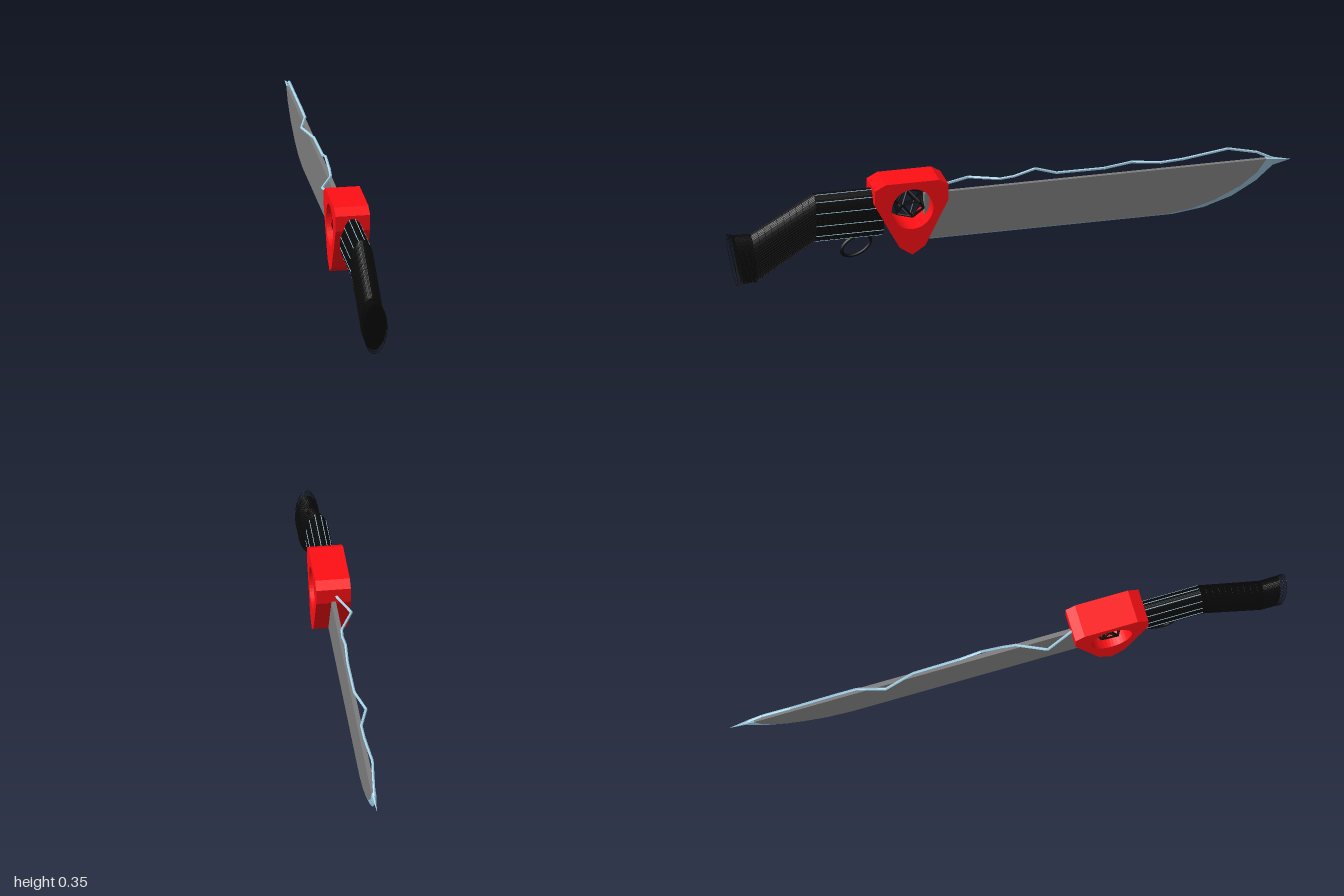
import * as THREE from 'three';
import { mergeGeometries } from 'three/addons/utils/BufferGeometryUtils.js';

const V = (x, y, z) => new THREE.Vector3(x, y, z);
const mat = (color, opts = {}) => new THREE.MeshStandardMaterial({ color, ...opts });

// Straight round strut between two points
function strut(a, b, r, sides = 5) {
  const d = b.clone().sub(a);
  const g = new THREE.CylinderGeometry(r, r, d.length(), sides, 1);
  g.applyQuaternion(new THREE.Quaternion().setFromUnitVectors(V(0, 1, 0), d.normalize()));
  return g.translate((a.x + b.x) / 2, (a.y + b.y) / 2, (a.z + b.z) / 2);
}

function chain(pts, r, sides = 5) {
  return mergeGeometries(pts.slice(1).map((p, i) => strut(pts[i], p, r, sides)));
}

// Side profile given as [z, y], extruded across x
function sideExtrude(pts, width, hole) {
  const shape = new THREE.Shape(pts.map(([z, y]) => new THREE.Vector2(-z, y)));
  if (hole) shape.holes.push(new THREE.Path().absarc(-hole[0], hole[1], hole[2], 0, Math.PI * 2, true));
  const g = new THREE.ExtrudeGeometry(shape, { depth: width, bevelEnabled: false, curveSegments: 20 });
  return g.translate(0, 0, -width / 2).rotateY(Math.PI / 2);
}

// Handle stations: top z, top y, bottom z, bottom y
const STATIONS = [
  [0.45, 0.318, 0.45, 0.141], [0.69, 0.318, 0.69, 0.141],
  [0.915, 0.19, 0.895, 0.012], [0.975, 0.192, 0.943, 0.01], [0.998, 0.198, 0.962, 0.002],
];

// Point on the oval handle; s runs through the stations
function gripPoint(s, angle, grow = 0) {
  const i = Math.min(Math.floor(s), STATIONS.length - 2), f = s - i;
  const [tz, ty, bz, by] = STATIONS[i].map((v, k) => v + (STATIONS[i + 1][k] - v) * f);
  const c = Math.cos(angle) * (1 + grow / 0.09);
  return V(Math.sin(angle) * (0.04 + grow), (ty + by) / 2 + c * (ty - by) / 2, (tz + bz) / 2 + c * (tz - bz) / 2);
}

function gripCore() {
  const N = 32, pos = [], idx = [];
  for (let j = 0; j < 4; j++)
    for (let i = 0; i < N; i++) pos.push(...gripPoint(j, (i / N) * Math.PI * 2).toArray());
  for (let j = 0; j < 3; j++)
    for (let i = 0; i < N; i++) {
      const a = j * N + i, b = j * N + (i + 1) % N;
      idx.push(a, a + N, b, b, a + N, b + N);
    }
  for (let i = 1; i < N - 1; i++) idx.push(3 * N, 3 * N + i + 1, 3 * N + i);
  const g = new THREE.BufferGeometry();
  g.setAttribute('position', new THREE.Float32BufferAttribute(pos, 3));
  g.setIndex(idx);
  const flat = g.toNonIndexed();
  flat.computeVertexNormals();
  return flat;
}

// Wedge between the blade outline and an outer cutting line, both [z, y]
function wedge(inner, outer, half) {
  const pos = [];
  const quad = (a, b, c, d) => [a, b, c, b, d, c].forEach(p => pos.push(...p));
  for (let i = 0; i < inner.length - 1; i++) {
    const at = (p, x) => [x, p[1], p[0]];
    for (const x of [half, -half])
      quad(at(inner[i], x), at(outer[i], 0), at(inner[i + 1], x), at(outer[i + 1], 0));
  }
  const g = new THREE.BufferGeometry();
  g.setAttribute('position', new THREE.Float32BufferAttribute(pos, 3));
  g.computeVertexNormals();
  return g;
}

export function createModel() {
  const group = new THREE.Group();
  const red = mat(0xff0f14), black = mat(0x0a0a0a), grey = mat(0x7c7c7c);
  const blue = mat(0xa6d3ea, { flatShading: true, side: THREE.DoubleSide });
  const add = (name, geometry, material) => {
    const m = new THREE.Mesh(geometry, material);
    m.name = name;
    group.add(m);
    return m;
  };

  // Shield-shaped guard with a round window
  add('guard', sideExtrude([
    [0.45, 0.35], [0.26, 0.35], [0.227, 0.33], [0.227, 0.275], [0.31, 0.11],
    [0.355, 0.08], [0.40, 0.11], [0.488, 0.275], [0.488, 0.33],
  ].reverse(), 0.12, [0.355, 0.25, 0.074]), red);

  // Twenty-sided wire frame floating in the window
  const edges = new THREE.EdgesGeometry(new THREE.IcosahedronGeometry(0.057)).attributes.position;
  const bars = [];
  for (let i = 0; i < edges.count; i += 2)
    bars.push(strut(V().fromBufferAttribute(edges, i), V().fromBufferAttribute(edges, i + 1), 0.0035, 6));
  const frame = add('windowFrame', mergeGeometries(bars), black);
  frame.quaternion.setFromUnitVectors(V(1, 1, 1).normalize(), V(1, 0, 0));
  frame.position.set(0, 0.25, 0.355);

  // Blade and its bevelled cutting edge
  const outline = [[0.30, 0.112], [-0.56, 0.112], [-0.65, 0.124], [-0.73, 0.148],
    [-0.82, 0.19], [-0.88, 0.235], [-0.912, 0.28]];
  add('blade', sideExtrude([...outline, [0.30, 0.28]], 0.016), grey);
  const cut = [[0.30, 0.106], [-0.58, 0.106], [-0.69, 0.12], [-0.79, 0.152],
    [-0.875, 0.2], [-0.935, 0.252], [-0.998, 0.268]];
  add('cuttingEdge', wedge([...outline, [-0.912, 0.28]], [...cut, [-0.905, 0.29]], 0.008), blue);

  // Crooked wire running above the back of the blade: x, y, z
  const wire = [
    [-0.005, 0.30, 0.24], [-0.05, 0.30, 0.13], [-0.004, 0.302, 0.03], [0, 0.308, -0.02],
    [-0.002, 0.328, -0.095], [0, 0.305, -0.17], [-0.002, 0.303, -0.34], [-0.03, 0.303, -0.445],
    [-0.002, 0.303, -0.54], [-0.003, 0.307, -0.62], [-0.011, 0.325, -0.78], [-0.003, 0.305, -0.88], [0, 0.28, -0.93],
  ].map(p => V(...p));
  add('backWire', chain(wire, 0.005, 6), blue);

  // Handle core
  add('handle', gripCore(), mat(0x0a0a0a, { side: THREE.DoubleSide }));

  // Fine net around the handle, standing out past the butt
  const net = [], strips = [], TURN = Math.PI * 2;
  for (let i = 0; i < 60; i++) {
    const a = (i / 60) * TURN;
    net.push(chain([0, 1, 2, 3, 4].map(s => gripPoint(s, a, 0.0005)), 0.0008, 3));
    if (i % 5 === 2)
      strips.push(strut(gripPoint(0, a, 0.0003), gripPoint(1, a, 0.0003), 0.0014, 4));
  }
  for (let s = 1; s <= 4.001; s += s < 2.99 ? 0.1 : 0.5) {
    const ring = [];
    for (let i = 0; i <= 36; i++) ring.push(gripPoint(Math.min(s, 4), (i / 36) * TURN, 0.0005));
    net.push(chain(ring, 0.0008, 3));
  }
  add('handleNet', mergeGeometries(net), black);
  add('handleStrips', mergeGeometries(strips), blue);

  // Tilted oval trigger loop
  const loop = new THREE.TorusGeometry(1, 0.12, 8, 32);
  const p = loop.attributes.position;
  for (let i = 0; i < p.count; i++) {
    const x = p.getX(i), y = p.getY(i), a = Math.atan2(y, x), d = Math.hypot(x, y) - 1;
    p.setXYZ(i, Math.cos(a) * (0.055 + d * 0.05), Math.sin(a) * (0.032 + d * 0.05), p.getZ(i) * 0.05);
  }
  loop.computeVertexNormals();
  loop.rotateZ(0.45).rotateY(Math.PI / 2).translate(0, 0.11, 0.54);
  add('triggerLoop', loop, black);

  return group;
}
